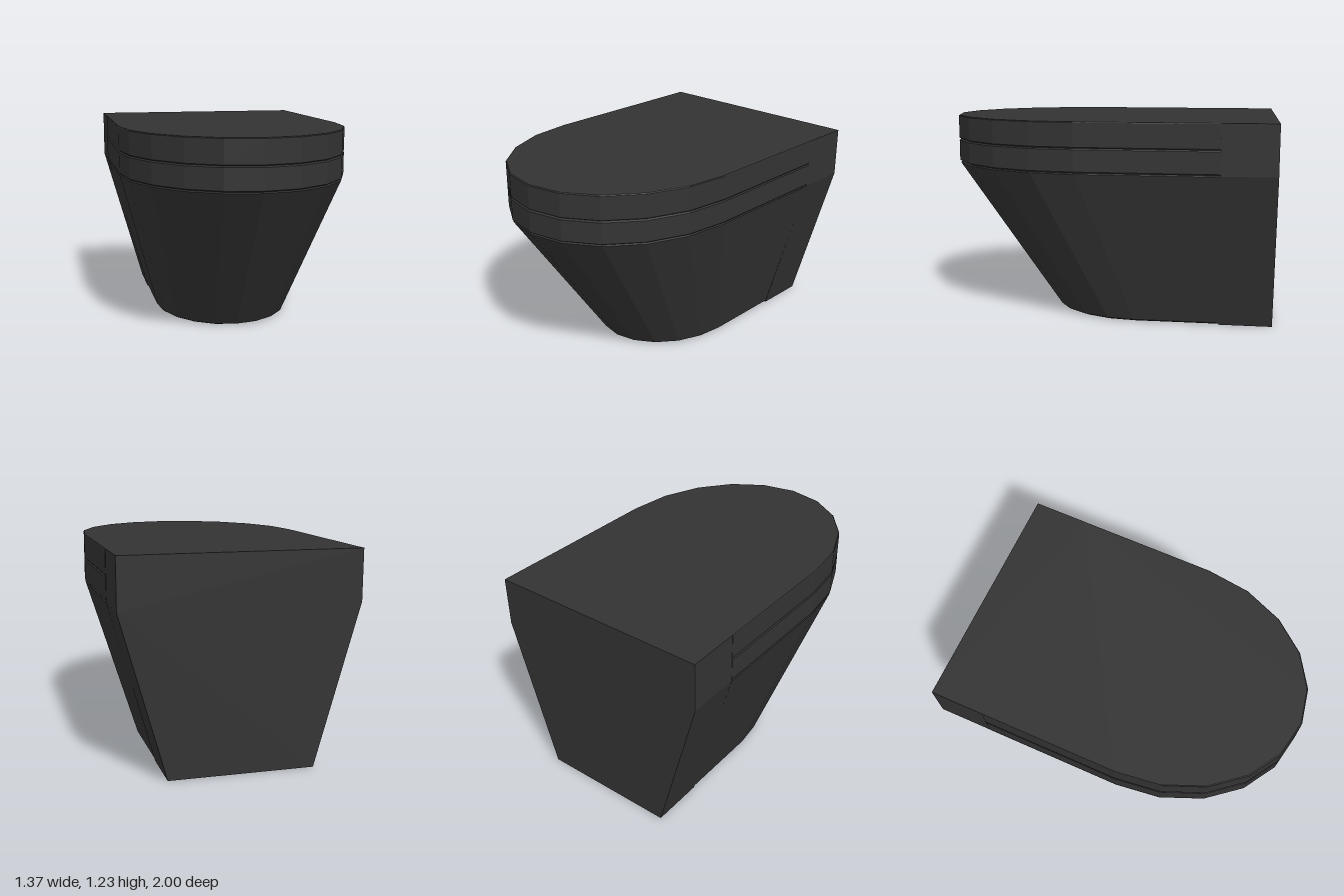
import * as THREE from 'three';

const BACK = -0.68; // plane where the bowl meets the rear mount
const material = new THREE.MeshStandardMaterial({ color: 0x333333, flatShading: true });

// U-shaped outline: straight sides closed by a ten-sided half ellipse at the front
function outline() {
  const pts = [[0.685, BACK]];
  for (let i = 0; i <= 10; i++) {
    const a = (i / 10) * Math.PI;
    pts.push([0.685 * Math.cos(a), 0.15 + 0.85 * Math.sin(a)]);
  }
  pts.push([-0.685, BACK]);
  return pts;
}

// Loft the outline through rings of [height, scale towards the back plane], capped at both ends
function loft(name, rings) {
  const pts = outline();
  const n = pts.length;
  const pos = [];
  const index = [];
  for (const [y, s] of rings) {
    for (const [x, z] of pts) pos.push(x * s, y, BACK + (z - BACK) * s);
  }
  for (let r = 0; r < rings.length - 1; r++) {
    for (let i = 0; i < n; i++) {
      const j = (i + 1) % n;
      const a = r * n + i, b = r * n + j;
      index.push(a, a + n, b, b, a + n, b + n);
    }
  }
  const top = (rings.length - 1) * n;
  for (let i = 1; i < n - 1; i++) {
    index.push(0, i, i + 1);
    index.push(top, top + i + 1, top + i);
  }
  const geo = new THREE.BufferGeometry();
  geo.setAttribute('position', new THREE.Float32BufferAttribute(pos, 3));
  geo.setIndex(index);
  const flat = geo.toNonIndexed();
  flat.computeVertexNormals();
  const mesh = new THREE.Mesh(flat, material);
  mesh.name = name;
  return mesh;
}

export function createModel() {
  const group = new THREE.Group();
  group.name = 'wallHungToilet';

  // Tapered bowl with softened lower and upper edges
  group.add(loft('bowl', [[0.004, 0.602], [0.012, 0.615], [0.932, 0.997], [0.938, 0.99]]));

  // Seat and lid, separated by fine bevelled grooves
  group.add(loft('seat', [[0.938, 0.99], [0.946, 1], [1.072, 1], [1.079, 0.992]]));
  group.add(loft('lid', [[1.079, 0.992], [1.086, 1], [1.225, 1], [1.23, 0.996]]));

  // Rear mount: tapered below, straight beside the seat and lid
  const profile = new THREE.Shape();
  profile.moveTo(-0.42, 0);
  profile.lineTo(0.42, 0);
  profile.lineTo(0.683, 0.935);
  profile.lineTo(0.683, 1.23);
  profile.lineTo(-0.683, 1.23);
  profile.lineTo(-0.683, 0.935);
  profile.closePath();
  const mountGeo = new THREE.ExtrudeGeometry(profile, { depth: 1 + BACK, bevelEnabled: false });
  const mount = new THREE.Mesh(mountGeo, material);
  mount.name = 'rearMount';
  mount.position.z = -1;
  group.add(mount);

  return group;
}
